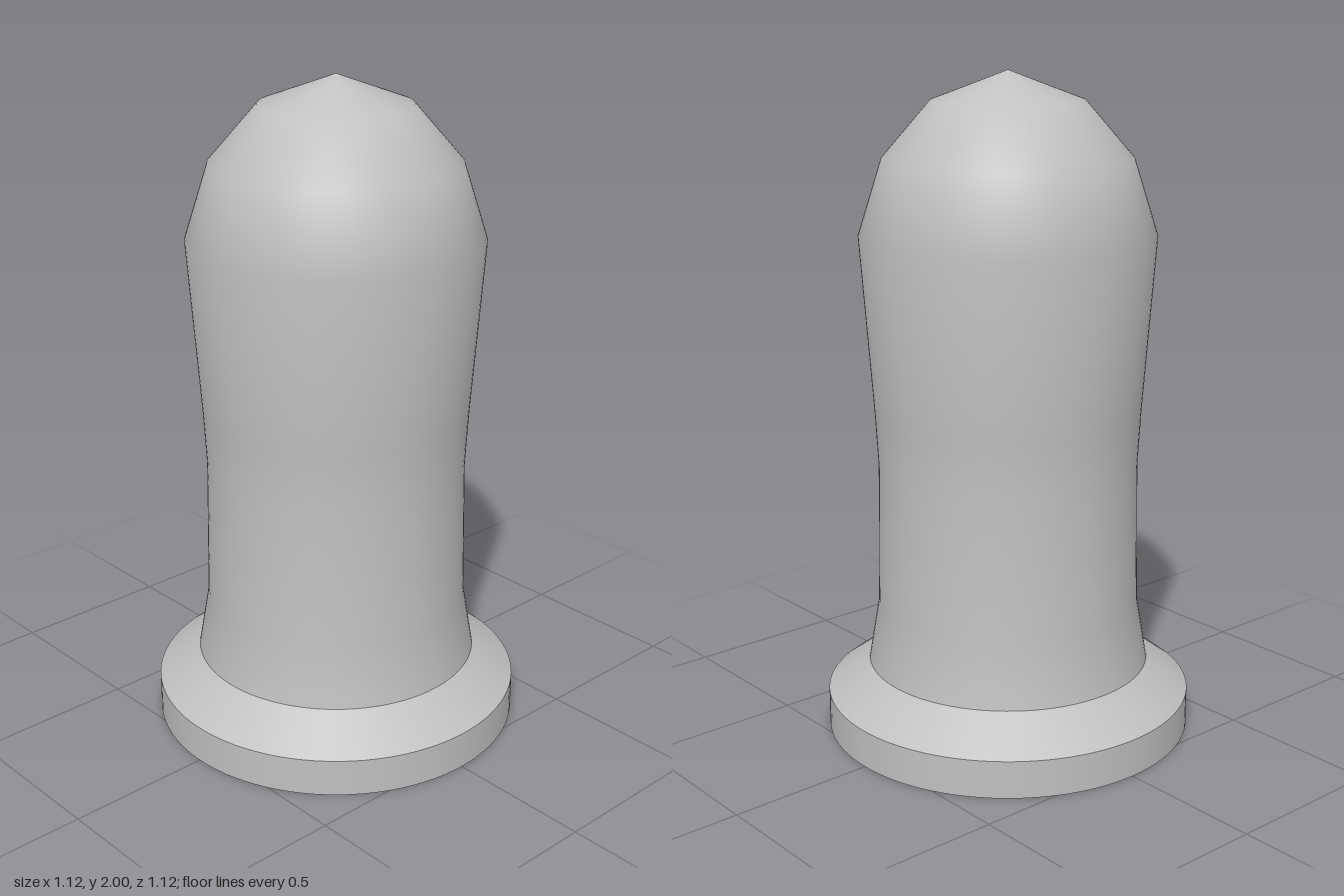
import * as THREE from 'three';

export function createModel() {
  const group = new THREE.Group();
  const grey = new THREE.MeshStandardMaterial({ color: 0xc0c0c0 });
  grey.name = 'grey';

  // Revolves a bottom-to-top profile of [radius, height] pairs
  const turned = (name, profile) => {
    const points = profile.map(([r, y]) => new THREE.Vector2(r, y));
    const mesh = new THREE.Mesh(new THREE.LatheGeometry(points, 96), grey);
    mesh.name = name;
    group.add(mesh);
  };

  // Foot: separate pieces keep its edges sharp
  turned('footUnderside', [[0, 0], [0.558, 0]]);
  turned('footRim', [[0.558, 0], [0.558, 0.115]]);
  turned('footBevel', [[0.558, 0.115], [0.43, 0.21]]);

  // Waisted body with a domed, pointed top
  turned('body', [
    [0.43, 0.21], [0.398, 0.4], [0.391, 0.83], [0.4, 1.0],
    [0.438, 1.527], [0.367, 1.75], [0.224, 1.915], [0, 2],
  ]);
  return group;
}
